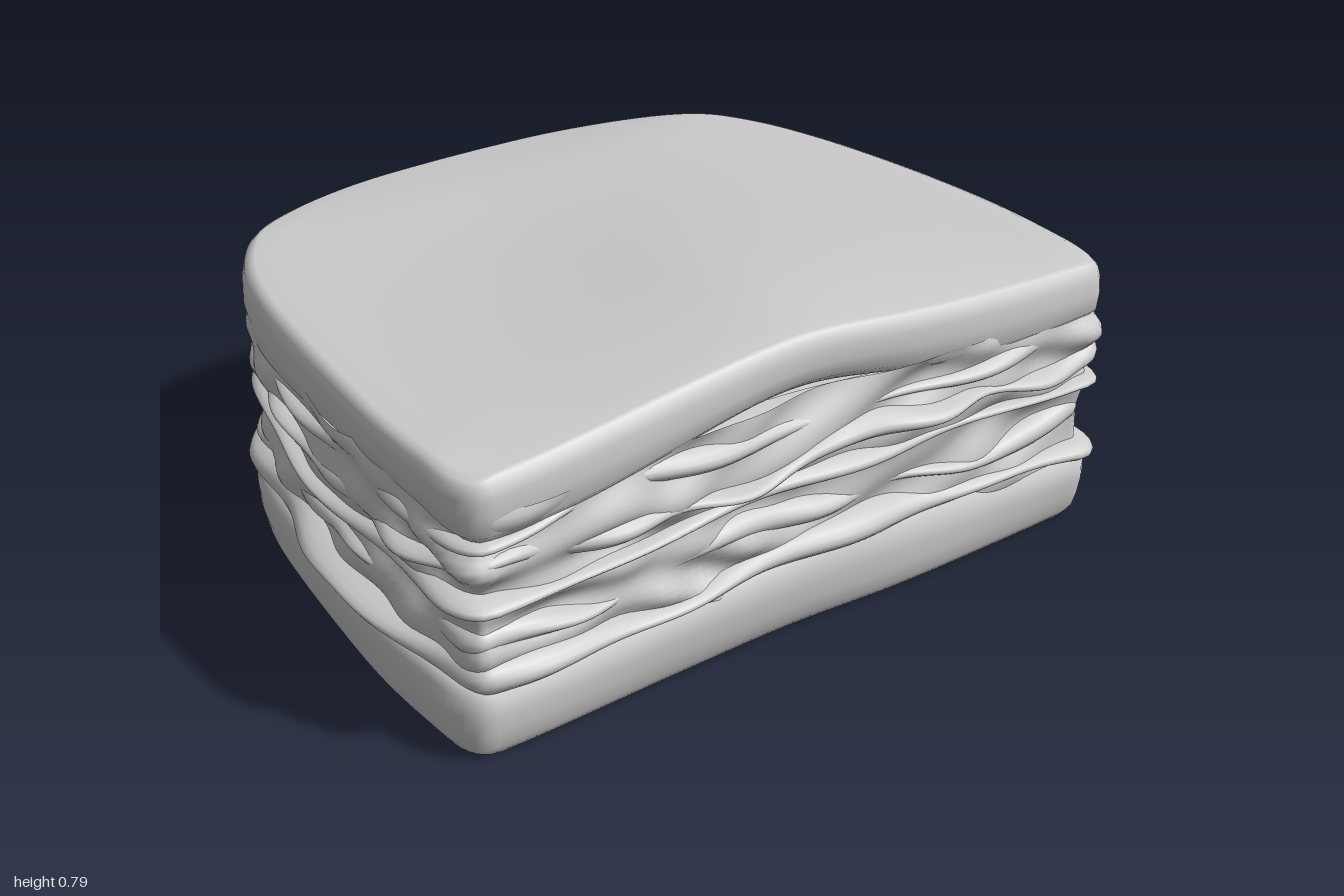
import * as THREE from 'three';

const N = 240;
const material = new THREE.MeshStandardMaterial({ color: 0xcccccc, side: THREE.DoubleSide });

// Bread outline seen from above: half of it as [x, z], then mirrored
const half = [[0.3, 0.785], [0.6, 0.79], [0.84, 0.79], [0.9, 0.785], [0.935, 0.74], [0.95, 0.6], [0.955, 0.4],
  [0.94, 0.18], [0.91, -0.05], [0.87, -0.25], [0.81, -0.42], [0.7, -0.58], [0.54, -0.69], [0.33, -0.765], [0.12, -0.79]];
const outlinePoints = [[0, 0.775], ...half, ...half.slice().reverse().map(([x, z]) => [-x, z])]
  .map(([x, z]) => new THREE.Vector3(x, 0, z));
const outline = new THREE.CatmullRomCurve3(outlinePoints, true, 'centripetal');
outline.arcLengthDivisions = 600;
const ring = Array.from({ length: N }, (_, i) => {
  const p = outline.getPointAt(i / N);
  const t = outline.getTangentAt(i / N);
  return { x: p.x, z: p.z, nx: -t.z, nz: t.x, a: (i / N) * Math.PI * 2 };
});
// outward normals
ring.forEach((p) => {
  if (p.nx * p.x + p.nz * p.z < 0) { p.nx *= -1; p.nz *= -1; }
});

const smooth = THREE.MathUtils.smoothstep;
const bump = (p, x, z, r) => Math.exp(-((p.x - x) ** 2 + (p.z - z) ** 2) / (r * r));

// Skin through rows running bottom to top; place(row, point) gives scale s, outward offset d and height y(x, z)
function loft(name, rows, place) {
  const pos = [], index = [];
  rows.forEach((row, j) => ring.forEach((p, i) => {
    const { s = 1, d, y } = place(row, p);
    const x = (p.x + p.nx * d) * s;
    const z = (p.z + p.nz * d) * s;
    pos.push(x, typeof y === 'function' ? y(x, z) : y, z);
    if (j === rows.length - 1) return;
    const a = j * N + i, b = j * N + (i + 1) % N;
    index.push(a, b, b + N, a, b + N, a + N);
  }));
  const geometry = new THREE.BufferGeometry();
  geometry.setAttribute('position', new THREE.Float32BufferAttribute(pos, 3));
  geometry.setIndex(index);
  geometry.computeVertexNormals();
  const mesh = new THREE.Mesh(geometry, material);
  mesh.name = name;
  return mesh;
}

// Height of the upper crumb: a hump at the front middle, drooping to the back
function topHeight(x, z) {
  const hump = 0.075 * Math.max(0, 1 - Math.sqrt(x * x + 0.01) / 0.95) * smooth(z, -0.45, 0.6);
  return 0.72 + hump - 0.035 * smooth(-z, 0.5, 0.82) - 0.012 * smooth(z, 0.62, 0.8)
    + 0.004 * Math.sin(x * 5 + z * 3);
}

// Slices: rows are [scale, offset, height]
const slice = (name, rows, height) => loft(name, rows, ([s, d, h], p) => ({
  s, d: d + 0.006 * Math.sin(p.a * 5 + h * 8), y: (x, z) => height(x, z, h, p),
}));

function bottomBread() {
  return slice('bottomBread', [[0, 0, 0], [0.5, 0, 0], [0.97, 0, 0.003], [1, -0.022, 0.012], [1, -0.01, 0.03],
    [1, 0, 0.07], [1, 0.005, 0.12], [1, 0.002, 0.165], [1, -0.02, 0.19], [0.9, 0, 0.2], [0, 0, 0.2]],
  (x, z, h, p) => h + smooth(h, 0.06, 0.2) * 0.014 * Math.sin(p.a * 4 + 1));
}

function topBread() {
  // heights are measured down from the upper surface
  return slice('topBread', [[0, 0, -0.15], [0.9, 0, -0.15], [1, -0.025, -0.15], [1, -0.002, -0.125], [1, 0.004, -0.08],
    [1, 0.002, -0.04], [1, -0.005, -0.015], [1, -0.018, -0.003], [0.965, 0, 0.002], [0.9, 0, 0], [0.75, 0, 0],
    [0.6, 0, 0], [0.45, 0, 0], [0.3, 0, 0], [0.15, 0, 0], [0, 0, 0]],
  (x, z, h, p) => topHeight(x, z) + h + smooth(-h, 0.05, 0.15) * 0.014 * Math.sin(p.a * 5 + 2));
}

// Crumpled filling between the slices, with slanting creases
function filling() {
  const rows = Array.from({ length: 34 }, (_, j) => 0.15 + (j / 33) * 0.48);
  return loft('filling', rows, (h, p) => {
    const warp = 1.6 * Math.sin(p.a * 3 + h * 6) + 0.9 * Math.sin(p.a * 7 + 2);
    const crease = Math.sin(h * 38 + warp * 1.7) * 0.5 + Math.sin(p.a * 13 + h * 27 + warp) * 0.35
      + Math.sin(p.a * 22 - h * 34 + warp) * 0.25;
    return { d: -0.03 + 0.022 * crease + 0.025 * smooth(h, 0.36, 0.5), y: h };
  });
}

// Ruffled sheet: a lens-shaped rim that waves up and down around the sandwich
function sheet(name, { y, thick, reach, wave, k, phase, bulges = [] }) {
  const rows = Array.from({ length: 13 }, (_, j) => -Math.PI / 2 + (j / 12) * Math.PI);
  return loft(name, rows, (t, p) => {
    const lift = wave * (Math.sin(p.a * k + phase) + 0.6 * Math.sin(p.a * (k * 2 + 1) + phase * 2));
    const ruffle = 0.013 * Math.sin(p.a * (k + 4) + phase) + 0.009 * Math.sin(p.a * (k * 3 + 2));
    const extra = bulges.reduce((sum, [x, z, r, amount]) => sum + amount * bump(p, x, z, r), 0);
    return {
      d: -0.1 + (0.1 + reach + ruffle + extra) * Math.cos(t),
      y: y + lift + thick * Math.sin(t) * (1 + 0.35 * Math.sin(p.a * (k + 2) + phase)),
    };
  });
}

export function createModel() {
  const group = new THREE.Group();
  group.name = 'sandwich';
  group.add(
    bottomBread(),
    filling(),
    sheet('lowerLettuce', { y: 0.205, thick: 0.04, reach: 0.006, wave: 0.012, k: 4, phase: 0.7,
      bulges: [[-0.15, -0.79, 0.22, 0.06], [-0.95, 0.3, 0.25, 0.03], [0.95, 0.3, 0.25, 0.015]] }),
    sheet('lowerMeat', { y: 0.295, thick: 0.035, reach: -0.02, wave: 0.02, k: 5, phase: 2.1,
      bulges: [[0.6, -0.65, 0.2, 0.03]] }),
    sheet('cheese', { y: 0.4, thick: 0.028, reach: 0.008, wave: 0.012, k: 3, phase: 1.2 }),
    sheet('upperMeat', { y: 0.475, thick: 0.035, reach: 0.008, wave: 0.018, k: 6, phase: 0.3,
      bulges: [[-0.15, 0.78, 0.16, 0.045], [0.37, 0.79, 0.18, 0.045], [0.95, 0.5, 0.2, 0.02]] }),
    sheet('upperLettuce', { y: 0.555, thick: 0.035, reach: 0, wave: 0.013, k: 4, phase: 3.3 }),
    topBread(),
  );
  return group;
}
